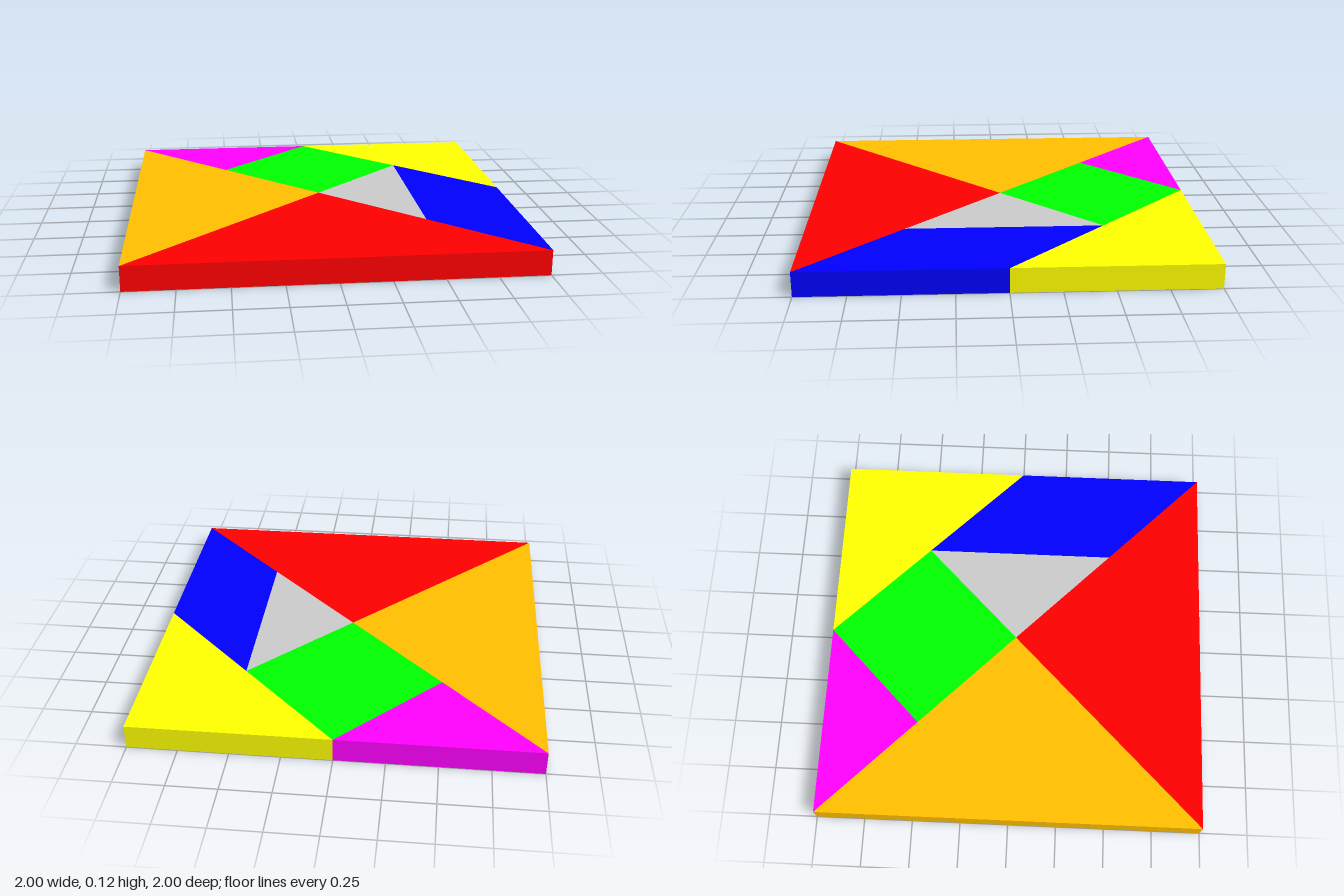
import * as THREE from 'three';

const THICKNESS = 0.125;

// Flat puzzle tile: a polygon of [x, z] corners extruded upward from y = 0
function tile(name, color, corners) {
  const shape = new THREE.Shape(corners.map(([x, z]) => new THREE.Vector2(x, -z)));
  const geometry = new THREE.ExtrudeGeometry(shape, { depth: THICKNESS, bevelEnabled: false });
  geometry.rotateX(-Math.PI / 2);
  const mesh = new THREE.Mesh(geometry, new THREE.MeshStandardMaterial({ color }));
  mesh.name = name;
  return mesh;
}

export function createModel() {
  const group = new THREE.Group();
  group.name = 'tangram';
  group.add(
    // Two large triangles
    tile('largeTriangleFront', 0xff0000, [[-1, 1], [1, 1], [0, 0]]),
    tile('largeTriangleRight', 0xffbf00, [[-1, -1], [-1, 1], [0, 0]]),
    // Medium corner triangle
    tile('mediumTriangle', 0xffff00, [[0, -1], [1, 0], [1, -1]]),
    // Two small triangles
    tile('smallTriangleBack', 0xff00ff, [[-1, -1], [-0.5, -0.5], [0, -1]]),
    tile('smallTriangleCentre', 0xcccccc, [[0, 0], [0.5, 0.5], [0.5, -0.5]]),
    // Square and parallelogram
    tile('square', 0x00ff00, [[0, 0], [0.5, -0.5], [0, -1], [-0.5, -0.5]]),
    tile('parallelogram', 0x0000ff, [[0.5, 0.5], [1, 1], [1, 0], [0.5, -0.5]]),
  );
  return group;
}
